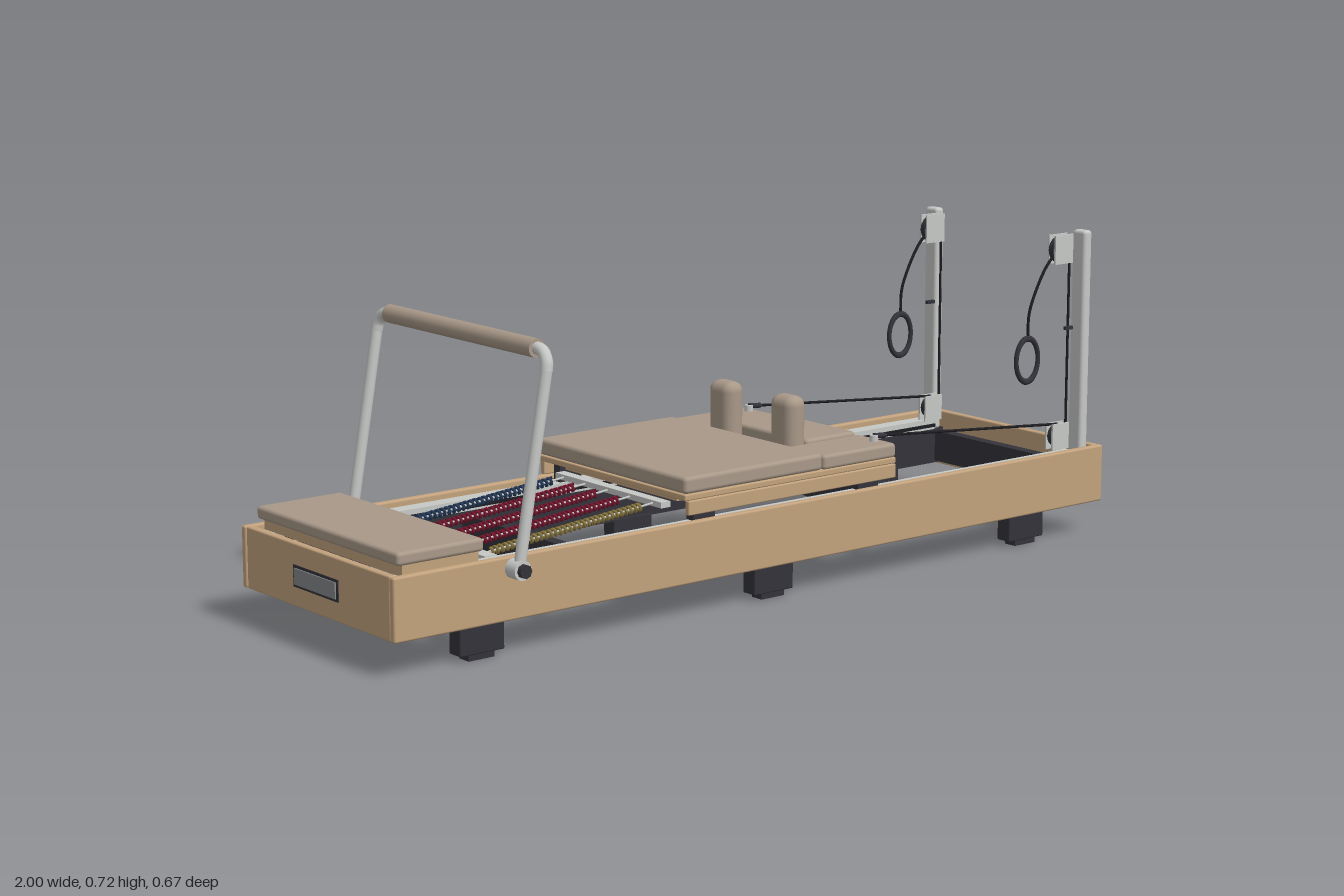
import * as THREE from 'three';
import { RoundedBoxGeometry } from 'three/addons/geometries/RoundedBoxGeometry.js';

const mat = (name, color) => Object.assign(new THREE.MeshStandardMaterial({ color }), { name });

export function createModel() {
  const wood = mat('wood', 0xc2a27d);
  const pad = mat('upholstery', 0xa89888);
  const metal = mat('metal', 0xc6c8c6);
  const black = mat('black', 0x34333a);
  const cord = mat('cord', 0x1d1d22);
  const red = mat('red', 0x7d1630);
  const blue = mat('blue', 0x263c5c);
  const yellow = mat('yellow', 0x8f7c42);
  const grey = mat('grey', 0x85878a);
  const root = new THREE.Group();
  root.name = 'reformer';
  const v = (x, y, z) => new THREE.Vector3(x, y, z);

  const add = (name, geometry, material) => {
    const mesh = new THREE.Mesh(geometry, material);
    mesh.name = name;
    root.add(mesh);
    return mesh;
  };
  // Box given by its lower and upper limits; r rounds the edges
  const box = (name, m, x0, x1, y0, y1, z0, z1, r = 0) => {
    const size = [x1 - x0, y1 - y0, z1 - z0];
    const g = r ? new RoundedBoxGeometry(...size, 3, r) : new THREE.BoxGeometry(...size);
    const mesh = add(name, g, m);
    mesh.position.set((x0 + x1) / 2, (y0 + y1) / 2, (z0 + z1) / 2);
    return mesh;
  };
  // The same box on both sides, z0 < z1 given for the +z side
  const pair = (name, m, x0, x1, y0, y1, z0, z1, r = 0) => {
    box(name + 'Front', m, x0, x1, y0, y1, z0, z1, r);
    box(name + 'Back', m, x0, x1, y0, y1, -z1, -z0, r);
  };
  // Straight round bar between two points
  const rod = (name, m, a, b, r, sides = 12) => {
    const mesh = add(name, new THREE.CylinderGeometry(r, r, a.distanceTo(b), sides), m);
    mesh.position.copy(a).add(b).multiplyScalar(0.5);
    mesh.quaternion.setFromUnitVectors(v(0, 1, 0), b.clone().sub(a).normalize());
    return mesh;
  };
  const tube = (name, m, points, r, segments = 32) =>
    add(name, new THREE.TubeGeometry(new THREE.CatmullRomCurve3(points), segments, r, 12), m);

  // Wooden frame
  pair('sideBoard', wood, -1, 1, 0.075, 0.21, 0.272, 0.289, 0.005);
  for (const s of [-1, 1]) {
    const x = s * 0.989;
    box('endBoard', wood, x - 0.009, x + 0.009, 0.075, 0.21, -0.272, 0.272, 0.004);
  }
  box('handlePlate', black, -1, -0.997, 0.118, 0.165, -0.085, 0.085);
  box('handleInset', grey, -1.003, -0.999, 0.124, 0.159, -0.078, 0.078);

  // Inner steel chassis and running rails
  pair('innerBeam', black, -0.975, 0.975, 0.085, 0.172, 0.232, 0.271);
  pair('runningRail', metal, -0.97, 0.94, 0.172, 0.198, 0.225, 0.262);
  pair('railGroove', cord, -0.97, 0.94, 0.178, 0.186, 0.222, 0.226);
  for (const x of [-0.962, -0.46, 0.457, 0.962])
    box('crossBeam', black, x - 0.014, x + 0.014, 0.09, 0.165, -0.235, 0.235);

  // Feet
  for (const x of [-0.775, 0, 0.77]) {
    pair('foot', black, x - 0.055, x + 0.055, 0.013, 0.09, 0.23, 0.27, 0.003);
    pair('footBase', black, x - 0.032, x + 0.032, 0, 0.016, 0.234, 0.266);
  }

  // Foot platform
  box('platformBase', wood, -0.96, -0.775, 0.2, 0.226, -0.26, 0.26);
  box('platformPad', pad, -0.975, -0.765, 0.224, 0.252, -0.267, 0.267, 0.008);

  // Carriage deck with skirts, pads and shoulder rests
  box('carriageDeck', wood, -0.245, 0.36, 0.25, 0.264, -0.266, 0.266, 0.003);
  box('carriageUnderside', wood, -0.215, 0.35, 0.235, 0.251, -0.2, 0.2);
  pair('carriageSkirt', wood, -0.235, 0.36, 0.217, 0.249, 0.252, 0.266, 0.003);
  box('carriagePad', pad, -0.245, 0.143, 0.264, 0.301, -0.266, 0.266, 0.009);
  box('headrest', pad, 0.21, 0.36, 0.264, 0.301, -0.132, 0.132, 0.009);
  pair('shoulderPad', pad, 0.145, 0.36, 0.263, 0.296, 0.14, 0.266, 0.008);
  pair('shoulderRest', pad, 0.148, 0.203, 0.262, 0.405, 0.069, 0.147, 0.023);
  box('neckBoard', wood, 0.143, 0.21, 0.262, 0.268, -0.14, 0.14);
  for (const x of [-0.18, 0.29]) pair('wheelBlock', black, x - 0.03, x + 0.03, 0.2, 0.25, 0.226, 0.25);
  pair('bumper', black, 0.33, 0.362, 0.234, 0.25, 0.183, 0.207);
  box('springHookBar', metal, -0.25, -0.225, 0.222, 0.235, -0.19, 0.19);
  box('springAnchorBar', metal, -0.735, -0.705, 0.178, 0.2, -0.225, 0.225);

  // Coil springs
  [blue, red, red, red, yellow].forEach((m, i) => {
    const z = (i - 2) * 0.08, turns = 32;
    const a = v(-0.72, 0.185, z), b = v(-0.235, 0.23, z);
    rod('springEndRod', metal, a, b, 0.0025, 6);
    const points = [];
    for (let k = 0; k <= turns * 8; k++) {
      const t = k / (turns * 8), w = (k / 8) * Math.PI * 2;
      points.push(a.clone().lerp(b, 0.09 + 0.82 * t).add(v(0, Math.cos(w) * 0.0075, Math.sin(w) * 0.0075)));
    }
    add('spring', new THREE.TubeGeometry(new THREE.CatmullRomCurve3(points), turns * 8, 0.0036, 5), m);
  });

  // Foot bar: padded grip, bent arms and pivots
  const armX = (y) => -0.71 + (y - 0.185) * 0.182;
  rod('footBarGrip', pad, v(-0.63, 0.625, -0.268), v(-0.63, 0.625, 0.268), 0.02, 24);
  for (const s of [-1, 1]) {
    rod('footBarArm', metal, v(armX(0.19), 0.19, s * 0.309), v(armX(0.59), 0.59, s * 0.309), 0.0125, 16);
    tube('footBarElbow', metal, [
      v(armX(0.585), 0.585, s * 0.309), v(armX(0.602), 0.602, s * 0.306),
      v(armX(0.618), 0.618, s * 0.294), v(-0.63, 0.625, s * 0.277), v(-0.63, 0.625, s * 0.255),
    ], 0.0135, 20);
    rod('footBarPivot', metal, v(-0.71, 0.185, s * 0.287), v(-0.71, 0.185, s * 0.323), 0.021, 20);
    rod('pivotKnob', black, v(-0.71, 0.185, s * 0.322), v(-0.71, 0.185, s * 0.334), 0.015, 8);
  }

  // Pulley posts, ropes and hand loops
  pair('pulleyPost', metal, 0.94, 0.966, 0.17, 0.721, 0.23, 0.271, 0.008);
  pair('upperBracketOuter', metal, 0.886, 0.945, 0.642, 0.71, 0.226, 0.231);
  pair('upperBracketInner', metal, 0.886, 0.945, 0.642, 0.71, 0.206, 0.21);
  pair('lowerBracketOuter', metal, 0.89, 0.945, 0.2, 0.262, 0.226, 0.231);
  pair('lowerBracketInner', metal, 0.89, 0.945, 0.2, 0.262, 0.206, 0.21);
  pair('postPeg', black, 0.917, 0.942, 0.486, 0.494, 0.232, 0.24);
  for (const s of [-1, 1]) {
    const z = s * 0.218;
    rod('upperPulley', black, v(0.914, 0.675, z - 0.007), v(0.914, 0.675, z + 0.007), 0.031, 24);
    rod('lowerPulley', black, v(0.918, 0.232, z - 0.007), v(0.918, 0.232, z + 0.007), 0.026, 24);
    rod('postRope', cord, v(0.945, 0.23, z), v(0.945, 0.675, z), 0.003, 8);
    rod('carriageRope', cord, v(0.345, 0.307, z), v(0.918, 0.259, z), 0.0032, 8);
    tube('loopRope', cord, [
      v(0.9, 0.67, z), v(0.865, 0.632, z), v(0.83, 0.57, z), v(0.816, 0.53, z), v(0.814, 0.476, z),
    ], 0.0035, 24);
    const loop = add('handLoop', new THREE.TorusGeometry(0.044, 0.0065, 10, 36), black);
    loop.scale.set(0.8, 1.16, 0.95);
    loop.position.set(0.813, 0.424, z);
    rod('ropeCleat', metal, v(0.335, 0.29, z), v(0.335, 0.31, z), 0.01, 12);
    rod('ropeClip', black, v(0.335, 0.308, z), v(0.37, 0.305, z), 0.006, 10);
  }
  return root;
}
